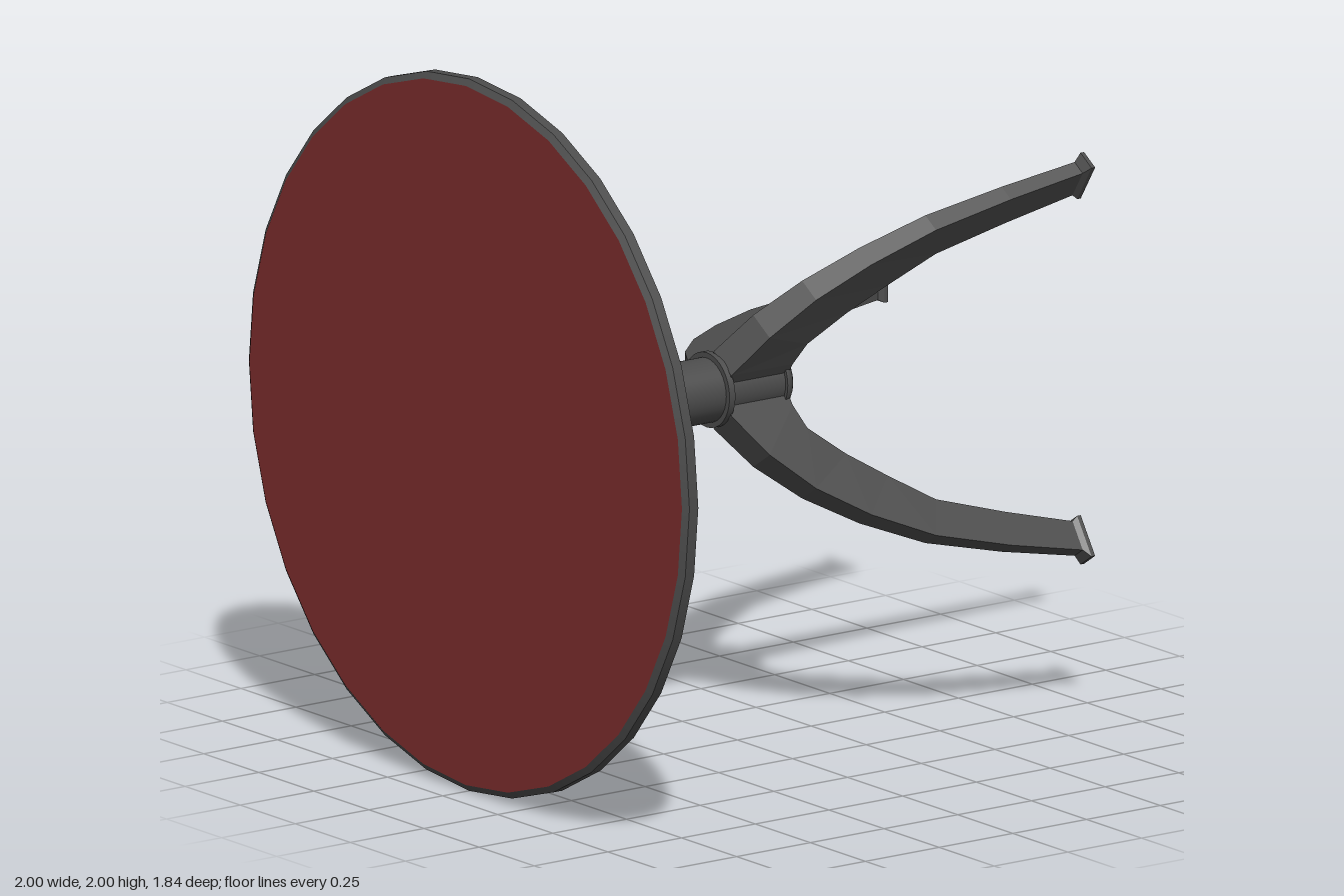
import * as THREE from 'three';

const CENTRE_Y = 1;

// Leg cross-sections: [outer radius, outer z, inner radius, inner z, half width]
const LEG_SECTIONS = [
  [0.00, 0.09, 0.00, -0.11, 0.05],
  [0.10, 0.09, 0.10, -0.117, 0.048],
  [0.225, 0.01, 0.17, -0.14, 0.045],
  [0.34, -0.105, 0.26, -0.24, 0.038],
  [0.44, -0.255, 0.34, -0.35, 0.033],
  [0.53, -0.44, 0.43, -0.48, 0.029],
  [0.595, -0.67, 0.50, -0.69, 0.025],
  [0.645, -0.895, 0.56, -0.895, 0.022],
  [0.67, -0.91, 0.55, -0.91, 0.03],
  [0.67, -0.922, 0.55, -0.922, 0.03],
];

// Four-sided curved beam sweeping outward along +x and back along -z
function legGeometry() {
  const points = [];
  const index = [];
  for (const [ro, zo, ri, zi, w] of LEG_SECTIONS) {
    points.push(ro, w, zo, ro, -w, zo, ri, -w, zi, ri, w, zi);
  }
  const last = (LEG_SECTIONS.length - 1) * 4;
  for (let s = 0; s < last; s += 4) {
    for (let k = 0; k < 4; k++) {
      const a = s + k;
      const b = s + ((k + 1) % 4);
      index.push(a, b, b + 4, a, b + 4, a + 4);
    }
  }
  // Shallow recessed foot end
  points.push(0.61, 0, -0.9);
  for (let k = 0; k < 4; k++) index.push(last + 4, last + k, last + ((k + 1) % 4));

  const indexed = new THREE.BufferGeometry();
  indexed.setAttribute('position', new THREE.Float32BufferAttribute(points, 3));
  indexed.setIndex(index);
  const geometry = indexed.toNonIndexed();
  geometry.computeVertexNormals();
  return geometry;
}

export function createModel() {
  const group = new THREE.Group();
  group.name = 'roundTableOnItsSide';

  const metal = new THREE.MeshStandardMaterial({ color: 0x4c4c4c });
  metal.name = 'darkGreyMetal';
  const red = new THREE.MeshStandardMaterial({ color: 0x7d2d2d });
  red.name = 'darkRed';

  const add = (name, geometry, material, z = 0) => {
    const mesh = new THREE.Mesh(geometry, material);
    mesh.name = name;
    mesh.position.set(0, CENTRE_Y, z);
    group.add(mesh);
    return mesh;
  };

  // Cylinder lying along z between two depths
  const turned = (name, rFront, rBack, zFront, zBack, material, open = false) => {
    const geometry = new THREE.CylinderGeometry(rFront, rBack, zFront - zBack, 32, 1, open);
    geometry.rotateX(Math.PI / 2);
    return add(name, geometry, material, (zFront + zBack) / 2);
  };

  // Table top: red disc with a bevelled grey rim
  turned('tableTop', 0.982, 0.982, 0.922, 0.868, red);
  turned('rimFrontBevel', 0.982, 1, 0.922, 0.91, metal, true);
  turned('rimEdge', 1, 1, 0.91, 0.88, metal, true);
  turned('rimBackBevel', 1, 0.982, 0.88, 0.868, metal, true);

  // Pedestal
  turned('pedestalCone', 0.21, 0.09, 0.87, 0.35, metal);
  turned('pedestalColumn', 0.09, 0.09, 0.35, 0.1, metal);
  turned('collar', 0.105, 0.105, 0.105, 0.085, metal);
  turned('hub', 0.085, 0.085, 0.09, -0.11, metal);

  // Rounded cap at the end of the hub
  const dome = new THREE.SphereGeometry(0.095, 24, 8, 0, Math.PI * 2, 0, Math.PI / 2);
  dome.rotateX(-Math.PI / 2);
  dome.scale(1, 1, 0.48);
  add('hubCap', dome, metal, -0.105);
  turned('hubCapBase', 0.095, 0.095, -0.1, -0.105, metal);

  // Three legs spread around the hub
  const leg = legGeometry();
  for (const [name, degrees] of [['rightLeg', 180], ['upperLeftLeg', 57], ['lowerLeftLeg', -57]]) {
    add(name, leg, metal).rotation.z = THREE.MathUtils.degToRad(degrees);
  }

  return group;
}
